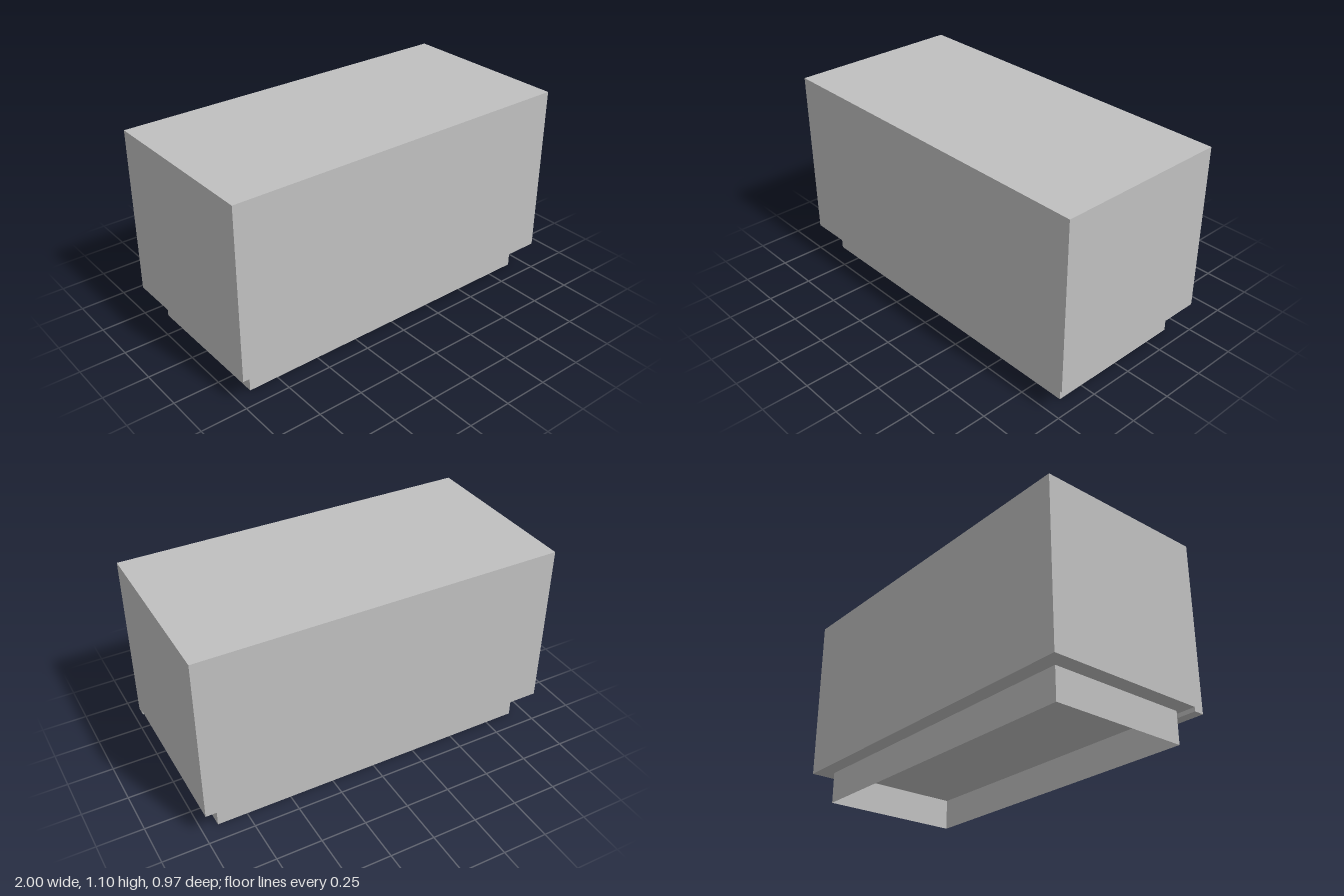
import * as THREE from 'three';

export function createModel() {
  const grey = new THREE.MeshStandardMaterial({ color: 0xc0c0c0, side: THREE.DoubleSide });
  grey.name = 'plain grey';
  const group = new THREE.Group();
  group.name = 'cabinet';

  const add = (name, geometry, x = 0, y = 0, z = 0, turn = 0) => {
    const mesh = new THREE.Mesh(geometry, grey);
    mesh.name = name;
    mesh.position.set(x, y, z);
    mesh.rotation.y = turn;
    group.add(mesh);
  };

  const halfDepth = 0.486, bottom = 0.175, top = 1.1;

  // Body: side profile in (z, y) with the front edge hanging down as a finger lip
  const profile = new THREE.Shape([
    [-halfDepth, bottom], [0.428, bottom], [0.428, 0.152],
    [halfDepth, 0.152], [halfDepth, top], [-halfDepth, top],
  ].map(([z, y]) => new THREE.Vector2(z, y)));
  const body = new THREE.ExtrudeGeometry(profile, { depth: 2, bevelEnabled: false });
  body.translate(0, 0, -1);
  // Turn the extrusion along x, with the profile's first axis pointing to +z
  add('body', body, 0, 0, 0, -Math.PI / 2);

  // Plinth: four thin boards, open underneath
  const plinthX = 0.912, plinthZ = 0.4;
  for (const side of [1, -1]) {
    add(side > 0 ? 'plinthFront' : 'plinthBack', new THREE.PlaneGeometry(plinthX * 2, bottom),
      0, bottom / 2, side * plinthZ, side > 0 ? 0 : Math.PI);
    add(side > 0 ? 'plinthLeft' : 'plinthRight', new THREE.PlaneGeometry(plinthZ * 2, bottom),
      side * plinthX, bottom / 2, 0, side * Math.PI / 2);
  }
  return group;
}
